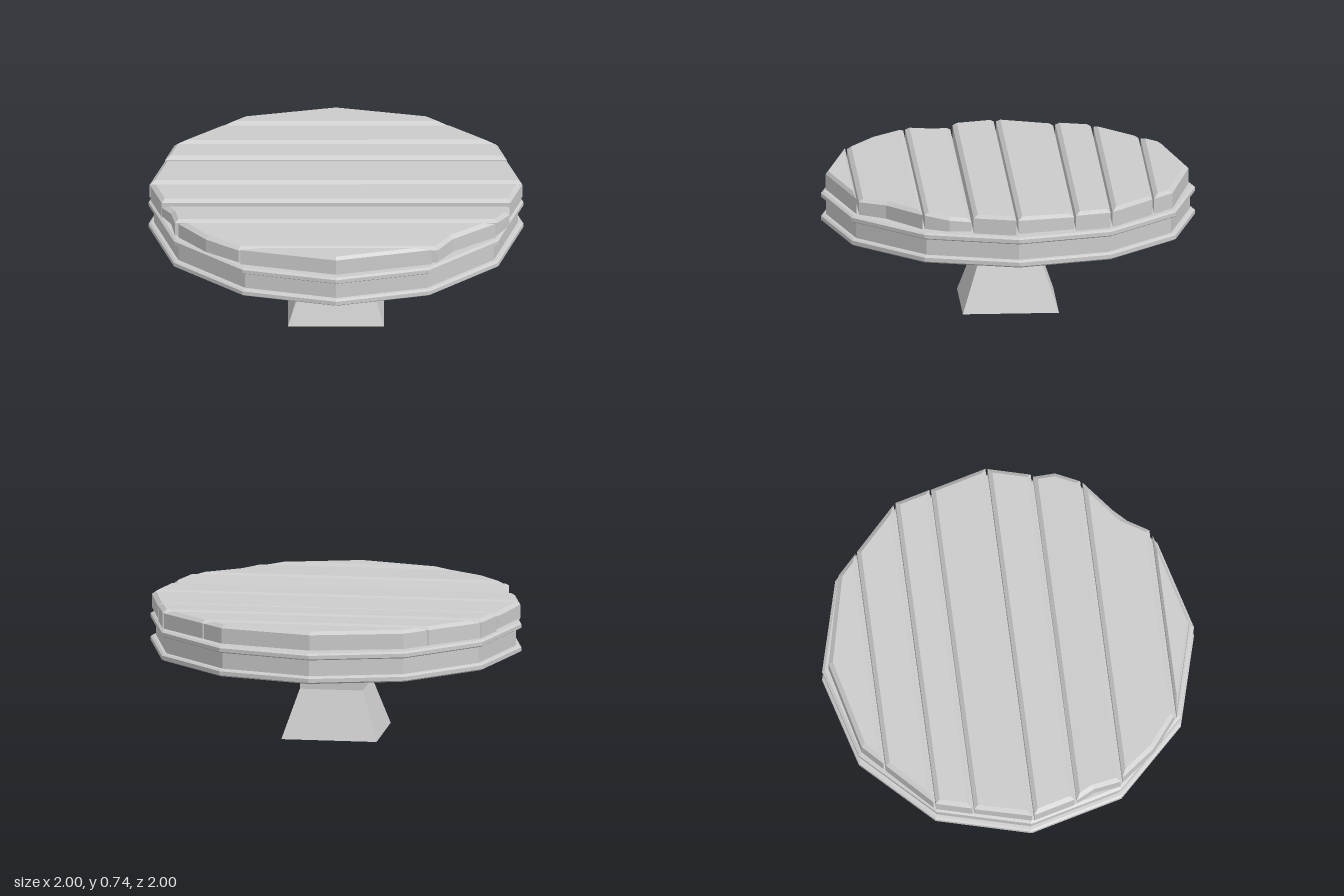
import * as THREE from 'three';

const material = new THREE.MeshStandardMaterial({ color: 0xcccccc, flatShading: true, side: THREE.DoubleSide });

// Half width of the twelve-sided table top at its corners: [z, x]
const OUTLINE = [[-0.965, 0], [-0.85, 0.49], [-0.5, 0.86], [0, 0.995], [0.5, 0.86], [0.85, 0.5], [0.975, 0]];

function halfWidth(z) {
  for (let i = 1; i < OUTLINE.length; i++) {
    const [z0, x0] = OUTLINE[i - 1], [z1, x1] = OUTLINE[i];
    if (z <= z1) return Math.max(0, x0 + (x1 - x0) * (z - z0) / (z1 - z0));
  }
  return 0;
}

// Points down one side of a plank, back to front
function sidePoints(z0, z1, sign) {
  const inner = OUTLINE.map(p => p[0]).filter(z => z > z0 + 0.03 && z < z1 - 0.03);
  return [z0, ...inner, z1].map(z => [sign * halfWidth(z), z]);
}

// Moves every edge of an outline inward by d
function inset(points, d) {
  const n = points.length;
  const normal = i => {
    const [ax, az] = points[(i + n) % n], [bx, bz] = points[(i + 1) % n];
    const len = Math.hypot(bx - ax, bz - az);
    return [(bz - az) / len, -(bx - ax) / len];
  };
  return points.map(([x, z], i) => {
    const a = normal(i - 1), b = normal(i);
    const k = d / (1 + a[0] * b[0] + a[1] * b[1]);
    return [x + (a[0] + b[0]) * k, z + (a[1] + b[1]) * k];
  });
}

// Plank with upright sides, a chamfered upper edge and a slightly tilted top
function plankGeometry({ z0, z1, bottom = 0.635, back = 0.735, front = 0.735, bevel = 0.022, left, right }) {
  const outline = [...(right || sidePoints(z0, z1, -1)), ...(left || sidePoints(z0, z1, 1)).slice().reverse()]
    .filter((p, i, all) => i === 0 || Math.hypot(p[0] - all[i - 1][0], p[1] - all[i - 1][1]) > 1e-4);
  const first = outline[0], last = outline[outline.length - 1];
  if (Math.hypot(first[0] - last[0], first[1] - last[1]) < 1e-4) outline.pop();

  const top = z => back + (front - back) * (z - z0) / (z1 - z0);
  const upper = inset(outline, bevel);
  const rings = [
    outline.map(([x, z]) => [x, bottom, z]),
    outline.map(([x, z]) => [x, top(z) - 0.017, z]),
    upper.map(([x, z]) => [x, top(z), z]),
  ];
  const n = outline.length, index = [];
  const zMid = (z0 + z1) / 2;
  const vertices = [...rings.flat(), [0, bottom, zMid], [0, top(zMid), zMid]];
  for (let i = 0; i < n; i++) {
    const j = (i + 1) % n;
    for (let r = 0; r < 2; r++) {
      const a = r * n + i, b = r * n + j;
      index.push(a, b, b + n, a, b + n, a + n);
    }
    index.push(3 * n, j, i, 3 * n + 1, 2 * n + i, 2 * n + j);
  }
  const geometry = new THREE.BufferGeometry();
  geometry.setAttribute('position', new THREE.Float32BufferAttribute(vertices.flat(), 3));
  geometry.setIndex(index);
  const flat = geometry.toNonIndexed();
  flat.computeVertexNormals();
  return flat;
}

function latheMesh(name, profile, sides, start = 0) {
  const points = profile.map(([r, y]) => new THREE.Vector2(r, y));
  const mesh = new THREE.Mesh(new THREE.LatheGeometry(points, sides, start), material);
  mesh.name = name;
  return mesh;
}

export function createModel() {
  const model = new THREE.Group();
  model.name = 'table';

  // Square post flaring out at the foot, open at both ends
  const d = Math.SQRT2;
  model.add(latheMesh('post', [[0.257 * d, 0], [0.17 * d, 0.26], [0.17 * d, 0.46]], 4, Math.PI / 4));

  // Hollow drum: two rims around a recessed band, closed on top
  model.add(latheMesh('drum', [
    [0.985, 0.457], [1, 0.466], [1, 0.487], [0.988, 0.495], [0.972, 0.497],
    [0.972, 0.583], [0.988, 0.586], [1, 0.593], [1, 0.613], [0.985, 0.622], [0, 0.622],
  ], 12));

  // Planks from back to front, some with chipped ends
  const planks = new THREE.Group();
  planks.name = 'planks';
  [
    { z0: -0.965, z1: -0.745 },
    { z0: -0.735, z1: -0.508 },
    { z0: -0.496, z1: -0.308 },
    { z0: -0.297, z1: 0.004, bottom: 0.645, back: 0.728 },
    { z0: 0.016, z1: 0.24 },
    {
      z0: 0.252, z1: 0.497, bottom: 0.645, back: 0.712,
      right: [[-0.928, 0.252], [-0.88, 0.35], [-0.86, 0.497]],
      left: [[0.925, 0.252], [0.925, 0.37], [0.86, 0.497]],
    },
    {
      z0: 0.509, z1: 0.829, bottom: 0.64, front: 0.726,
      right: [[-0.84, 0.509], [-0.695, 0.695], [-0.52, 0.829]],
      left: [[0.85, 0.509], [0.625, 0.69], [0.54, 0.829]],
    },
    { z0: 0.841, z1: 0.975, bevel: 0.013 },
  ].forEach(options => {
    const plank = new THREE.Mesh(plankGeometry(options), material);
    plank.name = 'plank';
    planks.add(plank);
  });
  model.add(planks);
  return model;
}
